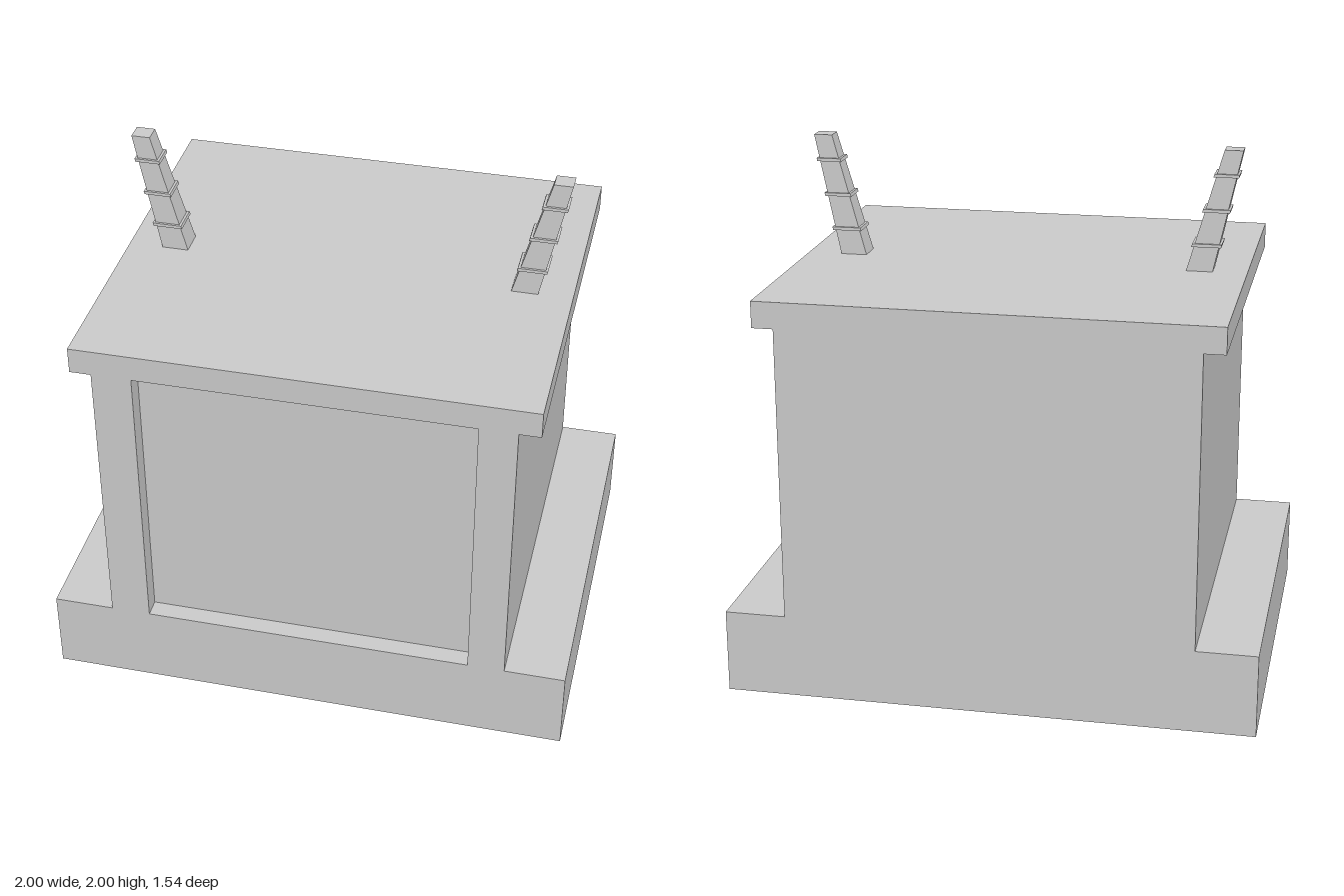
import * as THREE from 'three';

const material = new THREE.MeshStandardMaterial({ color: 0xcccccc, flatShading: true });

const HALF_DEPTH = 0.77, RECESS = 0.07;
const ROD_BOTTOM = 1.54, ROD_TOP = 2;

function addMesh(parent, name, geometry) {
  const mesh = new THREE.Mesh(geometry, material);
  mesh.name = name;
  parent.add(mesh);
  return mesh;
}

// Front outline: wide plinth, narrower body, overhanging top slab
function outline() {
  const half = [[1, 0], [1, 0.32], [0.77, 0.32], [0.77, 1.44], [0.85, 1.44], [0.85, 1.54]];
  const mirrored = half.map(([x, y]) => [-x, y]).reverse();
  return new THREE.Shape([...half, ...mirrored].map(([x, y]) => new THREE.Vector2(x, y)));
}

function slab(shape, zBack, depth) {
  return new THREE.ExtrudeGeometry(shape, { depth, bevelEnabled: false }).translate(0, 0, zBack);
}

// A slice of the leaning, tapering rod between two heights, widened by pad
function rodSlice(y0, y1, pad = 0) {
  const geometry = new THREE.BoxGeometry(2, 1, 2);
  const p = geometry.attributes.position;
  const { lerp } = THREE.MathUtils;
  for (let i = 0; i < p.count; i++) {
    const y = p.getY(i) > 0 ? y1 : y0;
    const t = (y - ROD_BOTTOM) / (ROD_TOP - ROD_BOTTOM);
    p.setXYZ(i,
      lerp(0.67, 0.785, t) + p.getX(i) * (lerp(0.05, 0.035, t) + pad),
      y,
      p.getZ(i) * (lerp(0.051, 0.034, t) + pad));
  }
  geometry.computeVertexNormals();
  return geometry;
}

export function createModel() {
  const model = new THREE.Group();
  model.name = 'cabinet';

  // Solid cabinet behind the front frame
  addMesh(model, 'cabinetBody', slab(outline(), -HALF_DEPTH, 2 * HALF_DEPTH - RECESS));

  // Front frame with the recessed panel opening
  const frame = outline();
  frame.holes.push(new THREE.Path([[-0.62, 0.32], [-0.62, 1.44], [0.63, 1.44], [0.63, 0.32]]
    .map(([x, y]) => new THREE.Vector2(x, y))));
  addMesh(model, 'frontFrame', slab(frame, HALF_DEPTH - RECESS, RECESS));

  // Pair of outward-leaning antennas with thin collars
  for (const [name, turn] of [['leftAntenna', 0], ['rightAntenna', Math.PI]]) {
    const antenna = new THREE.Group();
    antenna.name = name;
    antenna.rotation.y = turn;
    addMesh(antenna, 'rod', rodSlice(ROD_BOTTOM, ROD_TOP));
    for (const y of [1.64, 1.772, 1.905]) {
      addMesh(antenna, 'collar', rodSlice(y - 0.006, y + 0.006, 0.009));
    }
    model.add(antenna);
  }
  return model;
}
